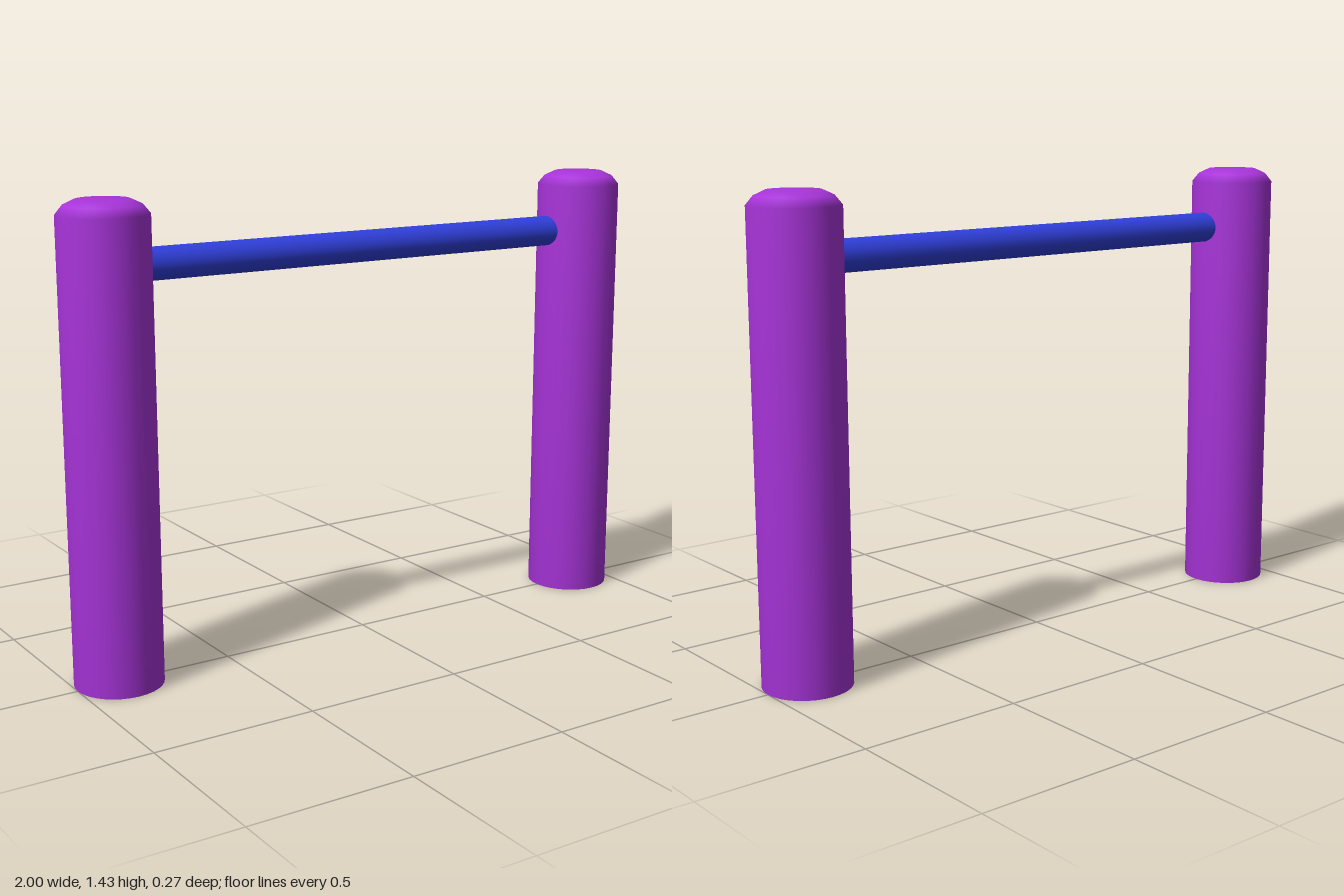
import * as THREE from 'three';

export function createModel() {
  const group = new THREE.Group();
  const purple = new THREE.MeshStandardMaterial({ color: 0xa834da });
  const blue = new THREE.MeshStandardMaterial({ color: 0x3040dd });

  // Post: closed cylinder with a rounded-over top edge, smooth throughout
  const profile = [
    [0, 0], [0.134, 0], [0.134, 1.39], [0.112, 1.417], [0.078, 1.433], [0, 1.433],
  ].map(([r, y]) => new THREE.Vector2(r, y));
  const postGeometry = new THREE.LatheGeometry(profile, 32);

  for (const side of [1, -1]) {
    const post = new THREE.Mesh(postGeometry, purple);
    post.name = side > 0 ? 'leftPost' : 'rightPost';
    post.position.x = side * 0.866;
    group.add(post);
  }

  // Crossbar: its ends are set into the posts
  const bar = new THREE.Mesh(new THREE.CylinderGeometry(0.049, 0.049, 1.54, 24), blue);
  bar.name = 'crossbar';
  bar.rotation.z = Math.PI / 2;
  bar.position.y = 1.24;
  group.add(bar);

  return group;
}
